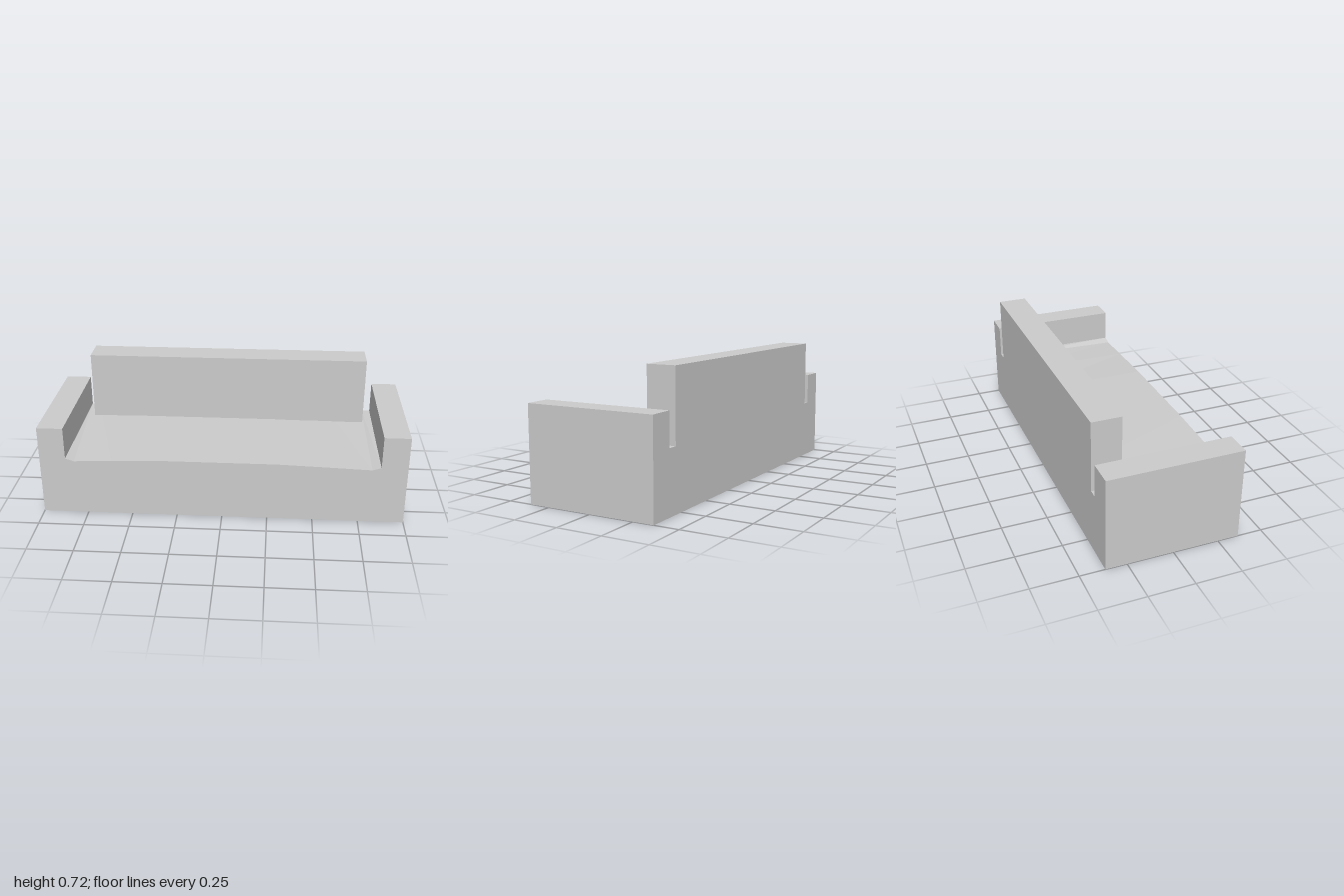
import * as THREE from 'three';

const DEPTH = 0.73;

export function createModel() {
  const sofa = new THREE.Group();
  sofa.name = 'sofa';
  const material = new THREE.MeshStandardMaterial({ color: 0xcccccc, flatShading: true });

  // Arms and seat share one front outline, mirrored about x = 0
  const half = [[1, 0], [1, 0.515], [0.857, 0.515], [0.857, 0.335], [0.81, 0.32], [0.6, 0.328], [0.3, 0.338]];
  const mirrored = half.map(([x, y]) => [-x, y]).reverse();
  const outline = [...half, ...mirrored].map(([x, y]) => new THREE.Vector2(x, y));
  const bodyGeometry = new THREE.ExtrudeGeometry(new THREE.Shape(outline), {
    depth: DEPTH, bevelEnabled: false,
  });
  bodyGeometry.translate(0, 0, -DEPTH / 2);

  // The seat sags along its front edge only; the rear edge is level
  const p = bodyGeometry.attributes.position;
  for (let i = 0; i < p.count; i++) {
    if (p.getZ(i) < 0 && p.getY(i) > 0.3 && p.getY(i) < 0.4) p.setY(i, 0.336);
  }
  bodyGeometry.computeVertexNormals();
  const body = new THREE.Mesh(bodyGeometry, material);
  body.name = 'seatAndArms';
  sofa.add(body);

  // Backrest standing on the rear of the seat, flush with the back
  const backrest = new THREE.Mesh(new THREE.BoxGeometry(1.61, 0.392, 0.16), material);
  backrest.name = 'backrest';
  backrest.position.set(-0.004, 0.524, -0.285);
  sofa.add(backrest);

  return sofa;
}
